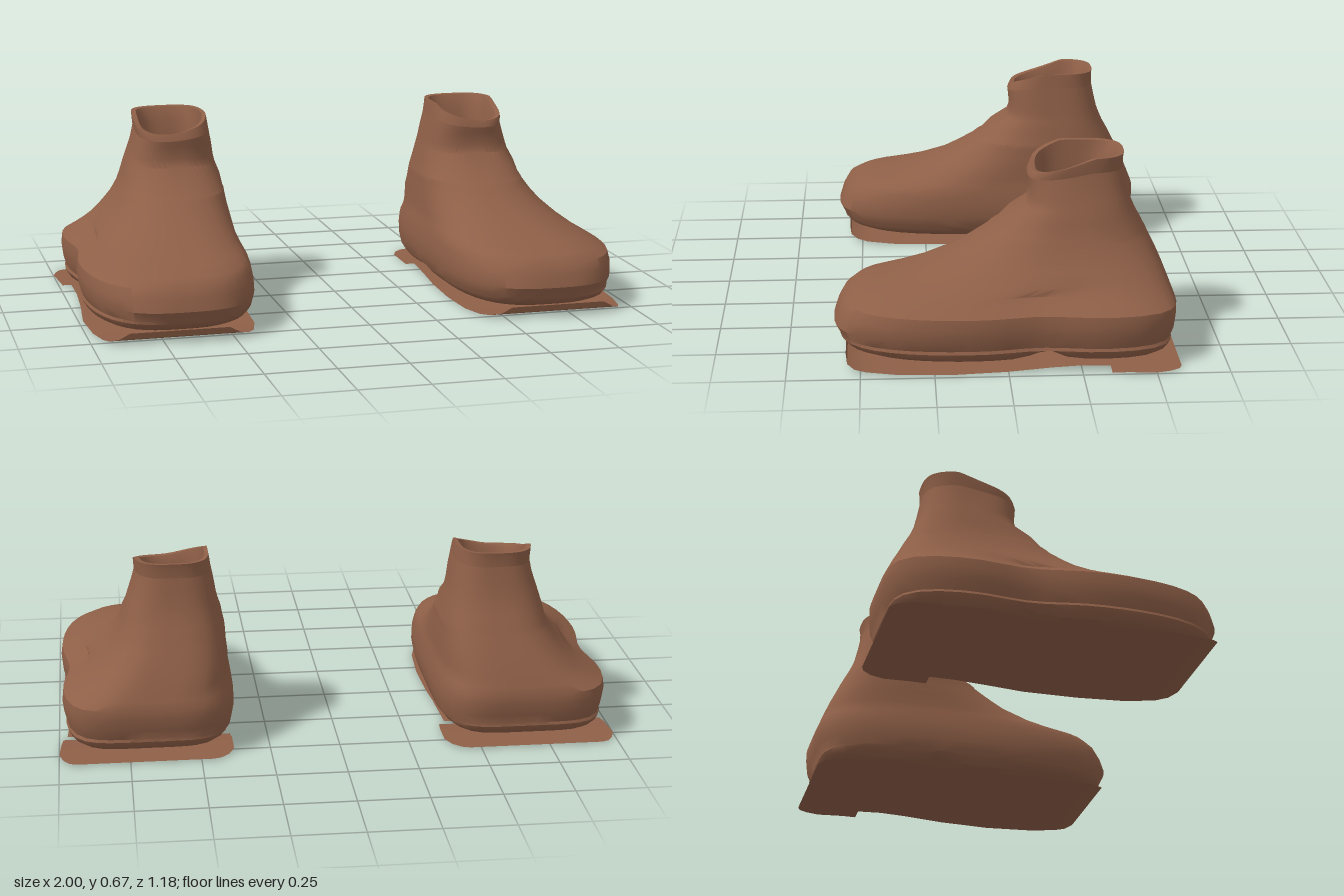
import * as THREE from 'three';
import { toCreasedNormals } from 'three/addons/utils/BufferGeometryUtils.js';

const leather = new THREE.MeshStandardMaterial({ color: 0x8e5f47, side: THREE.DoubleSide });
leather.name = 'brown leather';

const SEG = 56;

// Horizontal sections of the boot: height, toe z, heel z, inner x, outer x, toe squareness, heel squareness
const UPPER = [
  [0.045, -0.01, -0.03, 0.67, 0.69, 3, 4],
  [0.035, 0.51, -0.54, 0.41, 0.95, 3, 5],
  [0.05, 0.55, -0.56, 0.39, 0.97, 3, 5],
  [0.07, 0.57, -0.57, 0.375, 0.98, 3, 5],
  [0.08, 0.572, -0.567, 0.372, 0.975, 3, 5],
  [0.115, 0.59, -0.58, 0.365, 0.985, 3, 5],
  [0.16, 0.575, -0.585, 0.365, 0.99, 3, 5],
  [0.195, 0.555, -0.585, 0.37, 0.985, 3, 5],
  [0.22, 0.52, -0.575, 0.375, 0.945, 2.9, 4.5],
  [0.24, 0.43, -0.567, 0.38, 0.915, 2.7, 4.2],
  [0.265, 0.33, -0.557, 0.385, 0.88, 2.6, 4],
  [0.31, 0.2, -0.537, 0.385, 0.835, 2.5, 3.8],
  [0.35, 0.125, -0.517, 0.39, 0.805, 2.5, 3.5],
  [0.385, 0.065, -0.5, 0.392, 0.785, 2.5, 3.3],
  [0.4, 0.045, -0.492, 0.393, 0.778, 2.6, 3.2],
  [0.405, 0.03, -0.49, 0.395, 0.775, 2.6, 3.2],
  [0.45, -0.015, -0.465, 0.403, 0.762, 2.7, 3],
  [0.49, -0.08, -0.448, 0.415, 0.748, 2.8, 3],
  [0.52, -0.092, -0.437, 0.422, 0.738, 3, 3],
  [0.57, -0.088, -0.425, 0.43, 0.722, 3, 3],
  [0.62, -0.085, -0.415, 0.44, 0.712, 3, 3],
];

// Rolled collar edge, then the lining down to the insole
const COLLAR = [
  [0.655, -0.092, -0.415, 0.445, 0.715, 3, 3],
  [0.672, -0.098, -0.418, 0.448, 0.715, 3, 3],
  [0.67, -0.112, -0.4, 0.462, 0.698, 3, 3],
  [0.62, -0.125, -0.37, 0.465, 0.685, 3, 3],
  [0.5, -0.13, -0.36, 0.47, 0.68, 3, 3],
  [0.12, -0.13, -0.36, 0.47, 0.68, 3, 3],
  [0.12, -0.24, -0.25, 0.57, 0.58, 3, 3],
];

// Point on a section: a rounded box with its own toe and heel squareness
function sectionPoint([y, front, back, inner, outer, nToe, nHeel], angle) {
  const c = Math.cos(angle), s = Math.sin(angle);
  const n = s > 0 ? nToe : nHeel;
  const r = 1 / Math.pow(Math.abs(c) ** n + Math.abs(s) ** n, 1 / n);
  let x = (inner + outer) / 2 + (outer - inner) / 2 * c * r;
  const z = (front + back) / 2 + (front - back) / 2 * s * r;
  let h = y;
  // waist between forefoot and heel
  if (y < 0.25 && c > 0) x -= 0.03 * c * Math.exp(-(((z + 0.12) / 0.14) ** 2));
  // arch notch under the instep
  if (y < 0.06) h += 0.03 * Math.exp(-(((z + 0.13) / 0.05) ** 2));
  // opening dips at the front, lower on the outer side
  if (y > 0.56) {
    const dip = Math.max(0, 0.75 * s + 0.25 * c);
    h -= 0.075 * dip * Math.min(1, (y - 0.56) / 0.11);
  }
  return [x, h, z];
}

// Joins rows of points into a surface; side mirrors it in x
function skin(rows, closed, side) {
  const w = rows[0].length, pos = [], idx = [];
  for (const row of rows) for (const [x, y, z] of row) pos.push(x * side, y, z);
  for (let j = 0; j < rows.length - 1; j++) {
    for (let i = 0; i < (closed ? w : w - 1); i++) {
      const k = (i + 1) % w;
      const a = j * w + i, b = j * w + k, c = a + w, d = b + w;
      if (side > 0) idx.push(a, c, b, b, c, d);
      else idx.push(a, b, c, b, d, c);
    }
  }
  const geo = new THREE.BufferGeometry();
  geo.setAttribute('position', new THREE.Float32BufferAttribute(pos, 3));
  geo.setIndex(idx);
  return toCreasedNormals(geo, 0.65);
}

function loft(sections, side) {
  const rows = sections.map((sec) =>
    Array.from({ length: SEG }, (_, i) => sectionPoint(sec, (i / SEG) * Math.PI * 2)));
  return skin(rows, true, side);
}

// Thin sole sheets as rows of z, y, inner x, outer x
const SOLE = [
  [0.55, 0.042, 0.52, 0.87], [0.545, 0.02, 0.48, 0.91], [0.52, 0.011, 0.445, 0.94],
  [0.48, 0.007, 0.42, 0.955], [0.38, 0.004, 0.395, 0.975], [0.2, 0.003, 0.385, 0.985],
  [0, 0.003, 0.39, 0.965], [-0.15, 0.013, 0.395, 0.958], [-0.25, 0.02, 0.395, 0.962],
  [-0.37, 0.02, 0.4, 0.97],
];
const HEEL = [
  [-0.35, 0, 0.385, 0.985], [-0.4, 0.004, 0.38, 0.992], [-0.5, 0.004, 0.38, 1],
  [-0.55, 0.004, 0.4, 0.985], [-0.58, 0.004, 0.43, 0.965], [-0.59, 0.004, 0.46, 0.94],
];

function sheet(rows, side) {
  const points = rows.map(([z, y, a, b]) =>
    [0, 0.25, 0.5, 0.75, 1].map((t) => [a + (b - a) * t, y, z]));
  // reversed so the sheet faces up
  return skin(points.reverse(), false, side);
}

function createBoot(side) {
  const boot = new THREE.Group();
  const add = (name, geo) => {
    const mesh = new THREE.Mesh(geo, leather);
    mesh.name = name;
    boot.add(mesh);
  };
  add('upper', loft(UPPER, side));
  add('collarAndLining', loft([UPPER[UPPER.length - 1], ...COLLAR], side));
  add('frontSole', sheet(SOLE, side));
  add('heelSole', sheet(HEEL, side));
  boot.name = side > 0 ? 'leftBoot' : 'rightBoot';
  return boot;
}

export function createModel() {
  const model = new THREE.Group();
  model.name = 'pairOfBoots';
  model.add(createBoot(1), createBoot(-1));
  return model;
}
